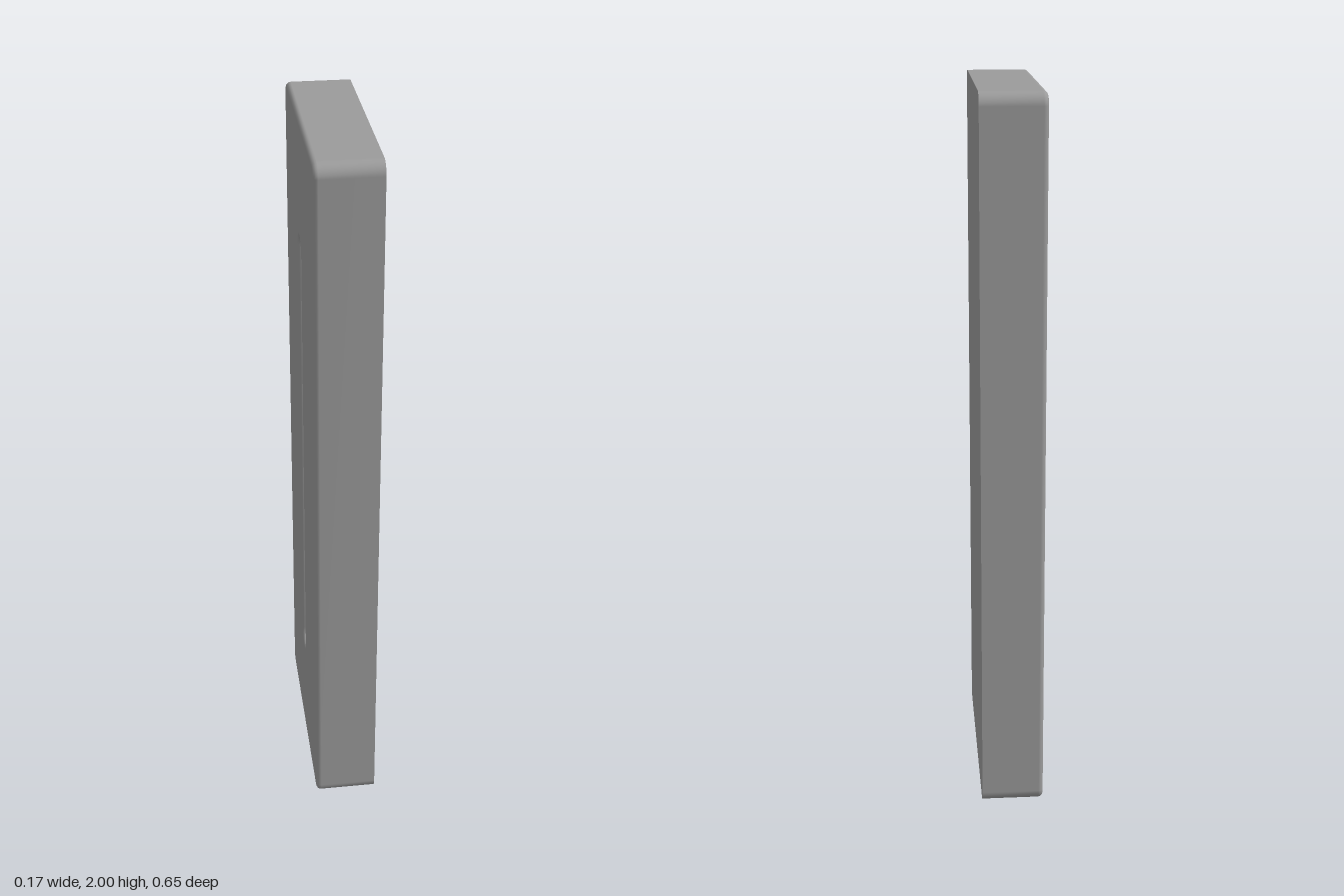
import * as THREE from 'three';

const HX = 0.087, HY = 1, HZ = 0.327;   // half sizes of the slab
const CORNER = 0.035, FILLET = 0.013;   // corner and outer edge radii
const SLOT_HZ = 0.036, SLOT_HY = 0.68, SLOT_DEPTH = 0.11, RIM = 0.01;
const STEPS = 6;

// Rounded rectangle in the z-y plane at a given x
function ring(x, hz, hy, r) {
  const points = [];
  [[1, 1], [-1, 1], [-1, -1], [1, -1]].forEach(([sz, sy], k) => {
    for (let i = 0; i <= STEPS; i++) {
      const t = (k + i / STEPS) * Math.PI / 2;
      points.push([x, HY + sy * (hy - r) + r * Math.sin(t), sz * (hz - r) + r * Math.cos(t)]);
    }
  });
  return points;
}

// Skin a list of equal-length closed rings; a repeated ring makes a hard edge
function loft(rings) {
  const n = rings[0].length, index = [];
  for (let i = 0; i < rings.length - 1; i++) {
    if (rings[i] === rings[i + 1]) continue;
    for (let j = 0; j < n; j++) {
      const a = i * n + j, b = i * n + (j + 1) % n;
      index.push(a, b, a + n, b, b + n, a + n);
    }
  }
  const geometry = new THREE.BufferGeometry();
  geometry.setAttribute('position', new THREE.Float32BufferAttribute(rings.flat(2), 3));
  geometry.setIndex(index);
  geometry.computeVertexNormals();
  return geometry;
}

export function createModel() {
  const rings = [];

  // Flat closed face with a hard border, then the outer wall
  const border = ring(HX, HZ, HY, CORNER);
  rings.push(ring(HX, 0, HY - HZ, 0), border, border);

  // Rounded outer edge of the slotted face
  for (let i = 0; i <= 4; i++) {
    const t = i / 4 * Math.PI / 2, inset = FILLET * (1 - Math.cos(t));
    rings.push(ring(-HX + FILLET * (1 - Math.sin(t)), HZ - inset, HY - inset, CORNER - inset));
  }

  // Softened slot rim
  for (let i = 0; i <= 4; i++) {
    const t = i / 4 * Math.PI / 2, grow = RIM * (1 - Math.sin(t));
    rings.push(ring(-HX + RIM * (1 - Math.cos(t)), SLOT_HZ + grow, SLOT_HY + grow, SLOT_HZ + grow));
  }

  // Slot wall and floor
  const floorX = -HX + SLOT_DEPTH;
  const floorEdge = ring(floorX, SLOT_HZ, SLOT_HY, SLOT_HZ);
  rings.push(floorEdge, floorEdge, ring(floorX, 0, SLOT_HY - SLOT_HZ, 0));

  const slab = new THREE.Mesh(loft(rings), new THREE.MeshStandardMaterial({ color: 0x9b9b9b }));
  slab.name = 'slottedSlab';

  const group = new THREE.Group();
  group.name = 'slottedPanel';
  group.add(slab);
  return group;
}
